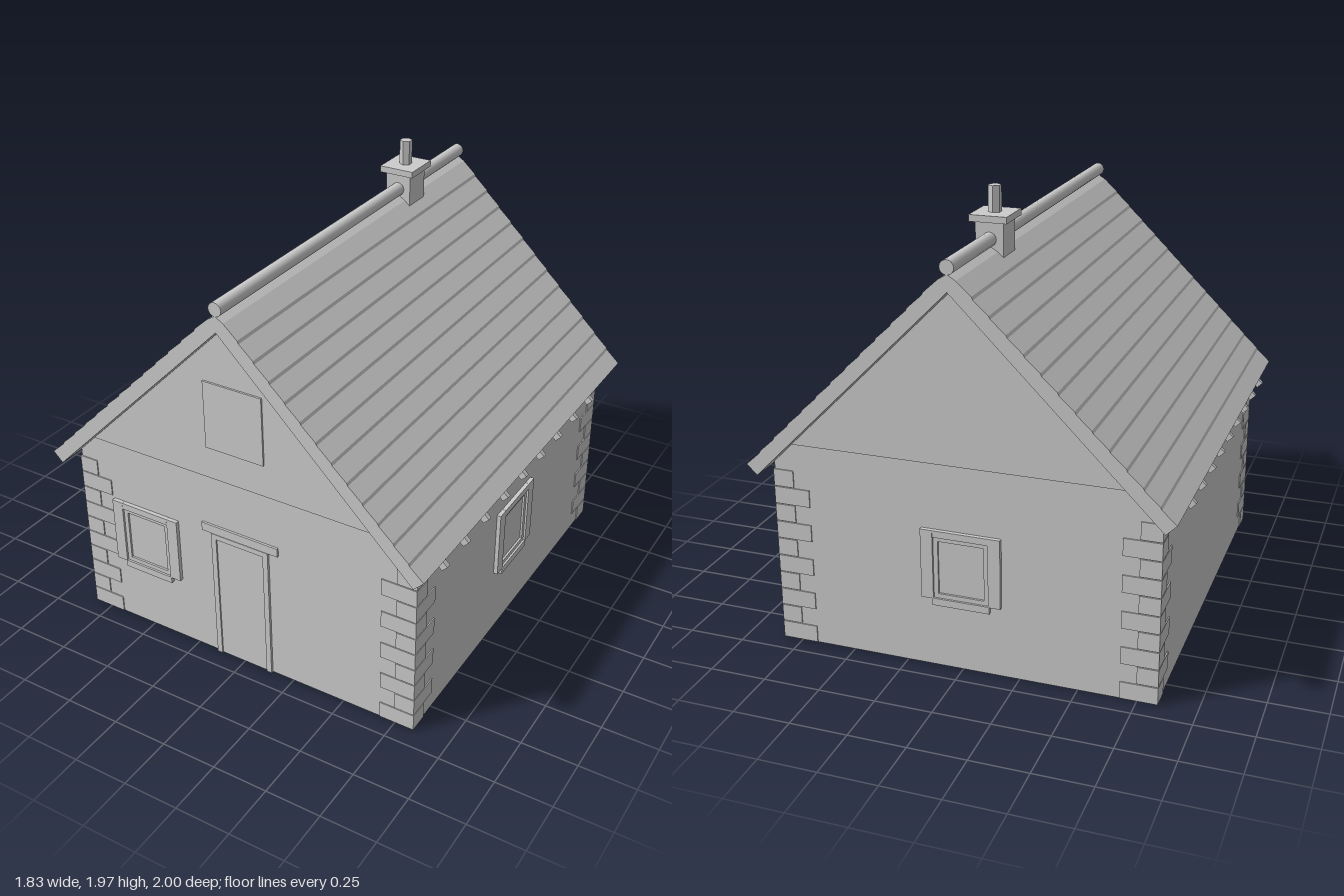
import * as THREE from 'three';

export function createModel() {
  const house = new THREE.Group();
  house.name = 'house';
  const stone = new THREE.MeshStandardMaterial({ color: 0xcccccc, side: THREE.DoubleSide });
  stone.name = 'pale grey';

  const W = 0.833, D = 0.908, APEX = 1.665; // wall half width, half depth, underside of ridge

  function add(geometry, name, x = 0, y = 0, z = 0, parent = house) {
    const mesh = new THREE.Mesh(geometry, stone);
    mesh.name = name;
    mesh.position.set(x, y, z);
    parent.add(mesh);
    return mesh;
  }
  // Box given by its limits
  function box(name, x0, x1, y0, y1, z0, z1, parent = house) {
    return add(new THREE.BoxGeometry(x1 - x0, y1 - y0, z1 - z0), name,
      (x0 + x1) / 2, (y0 + y1) / 2, (z0 + z1) / 2, parent);
  }
  const shapeOf = pts => new THREE.Shape(pts.map(p => new THREE.Vector2(...p)));

  // Thin walls, open underneath
  const endWall = shapeOf([[-W, 0], [W, 0], [W, APEX - W], [0, APEX], [-W, APEX - W]]);
  const gable = shapeOf([[-0.745, 0.92], [0.745, 0.92], [0, APEX]]);
  for (const s of [-1, 1]) {
    const wall = add(new THREE.ShapeGeometry(endWall), s > 0 ? 'frontWall' : 'backWall', 0, 0, s * D);
    if (s < 0) wall.rotation.y = Math.PI;
    add(new THREE.ExtrudeGeometry(gable, { depth: 0.012, bevelEnabled: false }),
      'gableBoarding', 0, 0, s * D - 0.006);
    const side = add(new THREE.PlaneGeometry(2 * D, APEX - W), s > 0 ? 'leftWall' : 'rightWall',
      s * W, (APEX - W) / 2, 0);
    side.rotation.y = s * Math.PI / 2;
  }

  // Corner stones, alternately long and short
  for (const sx of [-1, 1]) for (const sz of [-1, 1]) {
    for (let i = 0; i < 10; i++) {
      const long = i % 2 === 0;
      const lx = long ? 0.16 : 0.09, lz = long ? 0.09 : 0.16;
      add(new THREE.BoxGeometry(lx, 0.076, lz), 'cornerStone',
        sx * (W + 0.005 - lx / 2), 0.04 + i * 0.08, sz * (D + 0.005 - lz / 2));
    }
  }

  // Windows, built facing +z on the local origin
  function addWindow(x, z, turn) {
    const g = new THREE.Group();
    g.name = 'window';
    for (const s of [-1, 1]) {
      add(new THREE.BoxGeometry(0.053, 0.31, 0.036), 'windowJamb', s * 0.147, 0.475, 0, g);
      add(new THREE.BoxGeometry(0.02, 0.27, 0.018), 'windowSash', s * 0.11, 0.465, 0, g);
    }
    box('windowLintel', -0.12, 0.12, 0.6, 0.63, -0.018, 0.018, g);
    box('windowSill', -0.125, 0.125, 0.29, 0.322, -0.018, 0.018, g);
    box('windowSash', -0.12, 0.12, 0.58, 0.6, -0.009, 0.009, g);
    box('windowSash', -0.12, 0.12, 0.322, 0.342, -0.009, 0.009, g);
    g.position.set(x, 0, z);
    g.rotation.y = turn;
    house.add(g);
  }
  addWindow(-0.495, D, 0);
  addWindow(0, -D, Math.PI);
  addWindow(W, 0, Math.PI / 2);

  // Front door with frame, and loft hatch above
  box('door', -0.12, 0.12, 0, 0.62, D - 0.006, D + 0.005);
  for (const s of [-1, 1]) {
    add(new THREE.BoxGeometry(0.025, 0.64, 0.024), 'doorJamb', s * 0.13, 0.32, D);
  }
  box('doorHead', -0.142, 0.142, 0.615, 0.64, D - 0.012, D + 0.012);
  box('doorLintel', -0.19, 0.19, 0.64, 0.68, D - 0.01, D + 0.01);
  box('loftHatch', -0.14, 0.14, 1.07, 1.38, D - 0.012, D + 0.014);

  // Roof slopes with stepped courses of boards
  const COURSES = 13, LIP = 0.006, run = 0.88 / COURSES;
  const profile = [[0, APEX], [0.865, 0.8]];
  for (let i = 0; i < COURSES; i++) {
    const x = 0.91 - i * run, y = 0.845 + i * run;
    profile.push([x, y], [x - run + LIP, y + run - LIP * 2]);
  }
  profile.push([0, 1.735]);
  for (const s of [-1, 1]) {
    const slope = shapeOf(profile.map(([x, y]) => [s * x, y]));
    add(new THREE.ExtrudeGeometry(slope, { depth: 2, bevelEnabled: false }),
      s > 0 ? 'leftRoof' : 'rightRoof', 0, 0, -1);
    // Rafter ends under the eaves
    for (let i = 0; i < 9; i++) {
      const rafter = add(new THREE.BoxGeometry(0.1, 0.034, 0.022), 'rafterEnd',
        s * 0.867, 0.822, 0.8 - i * 0.1845);
      rafter.rotation.z = -s * Math.PI / 4;
    }
  }

  // Round ridge cap
  const ridge = add(new THREE.CylinderGeometry(0.03, 0.03, 2, 16), 'ridgeCap', 0, 1.762, 0);
  ridge.rotation.x = Math.PI / 2;

  // Chimney with slab and six-sided flue
  const cz = -0.478;
  box('chimneyStack', -0.06, 0.06, 1.65, 1.836, cz - 0.068, cz + 0.068);
  box('chimneySlab', -0.081, 0.081, 1.834, 1.862, cz - 0.088, cz + 0.088);
  const flue = new THREE.CylinderGeometry(0.028, 0.028, 0.112, 6).toNonIndexed();
  flue.computeVertexNormals();
  add(flue, 'chimneyFlue', 0, 1.915, cz);

  return house;
}
